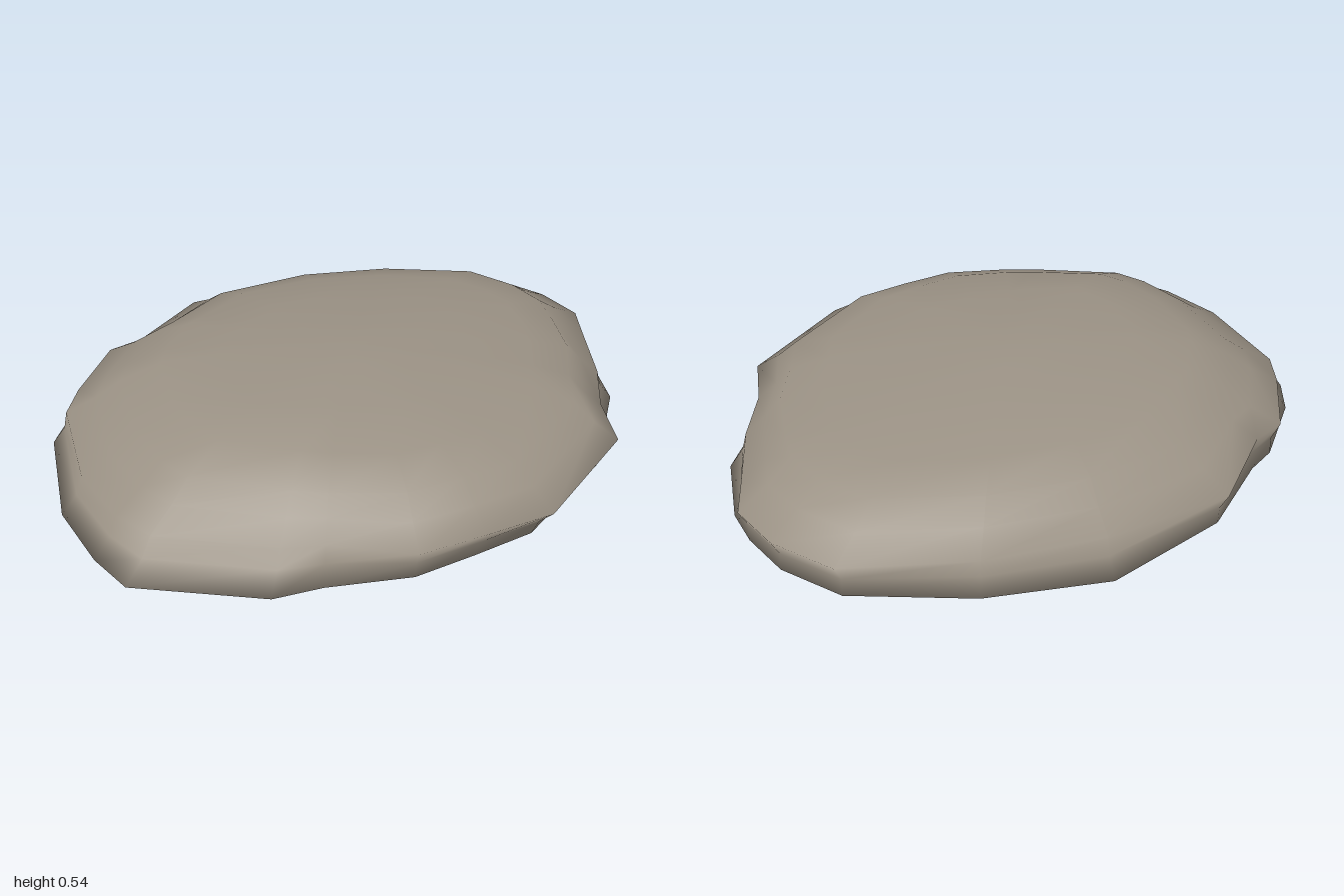
import * as THREE from 'three';

// Plan outline: x, z, then the fraction of it reached by the lower rim, upper rim and shoulder
const OUTLINE = [
  [1.0, -0.03, 0.98, 1, 0.81], [0.98, -0.2, 0.98, 1, 0.81], [0.885, -0.4, 0.98, 1, 0.81],
  [0.56, -0.63, 1, 0.97, 0.8], [0.21, -0.8, 1, 0.93, 0.77], [-0.21, -0.82, 0.97, 1, 0.79],
  [-0.49, -0.69, 0.98, 0.98, 0.8], [-0.6, -0.665, 0.98, 1, 0.79], [-0.82, -0.51, 1, 0.95, 0.76],
  [-0.91, -0.405, 1, 0.94, 0.75], [-1.0, -0.04, 1, 0.92, 0.74], [-0.98, 0.2, 1, 0.91, 0.74],
  [-0.94, 0.35, 1, 0.89, 0.73], [-0.6, 0.6, 1, 0.9, 0.76], [-0.45, 0.635, 1, 0.94, 0.82],
  [-0.21, 0.76, 0.96, 1, 0.83], [0.0, 0.79, 0.94, 1, 0.83], [0.22, 0.815, 0.92, 1, 0.82],
  [0.62, 0.64, 0.94, 1, 0.83], [0.72, 0.48, 1, 0.97, 0.83], [0.88, 0.33, 1, 0.93, 0.8],
  [0.97, 0.1, 1, 0.96, 0.8],
];

// Rings from the underside to the crown: height and scale of the outline
const RINGS = [
  [0.008, () => 0.18],
  [0.03, () => 0.45],
  [0.1, (l) => 0.82 * l],
  [0.215, (l) => l],
  [0.275, (l, u) => (l + u) / 2 - 0.015],
  [0.335, (l, u) => u],
  [0.39, (l, u, s) => u * 0.45 + s * 0.55],
  [0.45, (l, u, s) => s],
  [0.495, (l, u, s) => s * 0.82],
  [0.525, () => 0.42],
  [0.54, () => 0.16],
];

function stoneGeometry() {
  const n = OUTLINE.length;
  const positions = [];
  const index = [];
  for (const [y, scale] of RINGS) {
    for (const [x, z, lower, upper, shoulder] of OUTLINE) {
      const k = scale(lower, upper, shoulder);
      // the crown leans gently down towards +x
      const tilt = y > 0.48 ? -0.02 * x * k : 0;
      positions.push(x * k, y + tilt, z * k);
    }
  }
  const bottom = positions.length / 3;
  positions.push(0, 0, 0, 0, 0.543, 0);
  const top = bottom + 1;
  const last = (RINGS.length - 1) * n;
  for (let j = 0; j < n; j++) {
    const k = (j + 1) % n;
    for (let i = 0; i < last; i += n) {
      index.push(i + j, i + k, i + n + k, i + j, i + n + k, i + n + j);
    }
    index.push(bottom, k, j, top, last + j, last + k);
  }
  const geometry = new THREE.BufferGeometry();
  geometry.setAttribute('position', new THREE.Float32BufferAttribute(positions, 3));
  geometry.setIndex(index);
  geometry.computeVertexNormals();
  return geometry;
}

export function createModel() {
  const stone = new THREE.MeshStandardMaterial({ color: 0x9b9285 });
  stone.name = 'warm grey stone';
  const mesh = new THREE.Mesh(stoneGeometry(), stone);
  mesh.name = 'flatStone';
  const group = new THREE.Group();
  group.name = 'stone';
  group.add(mesh);
  return group;
}
